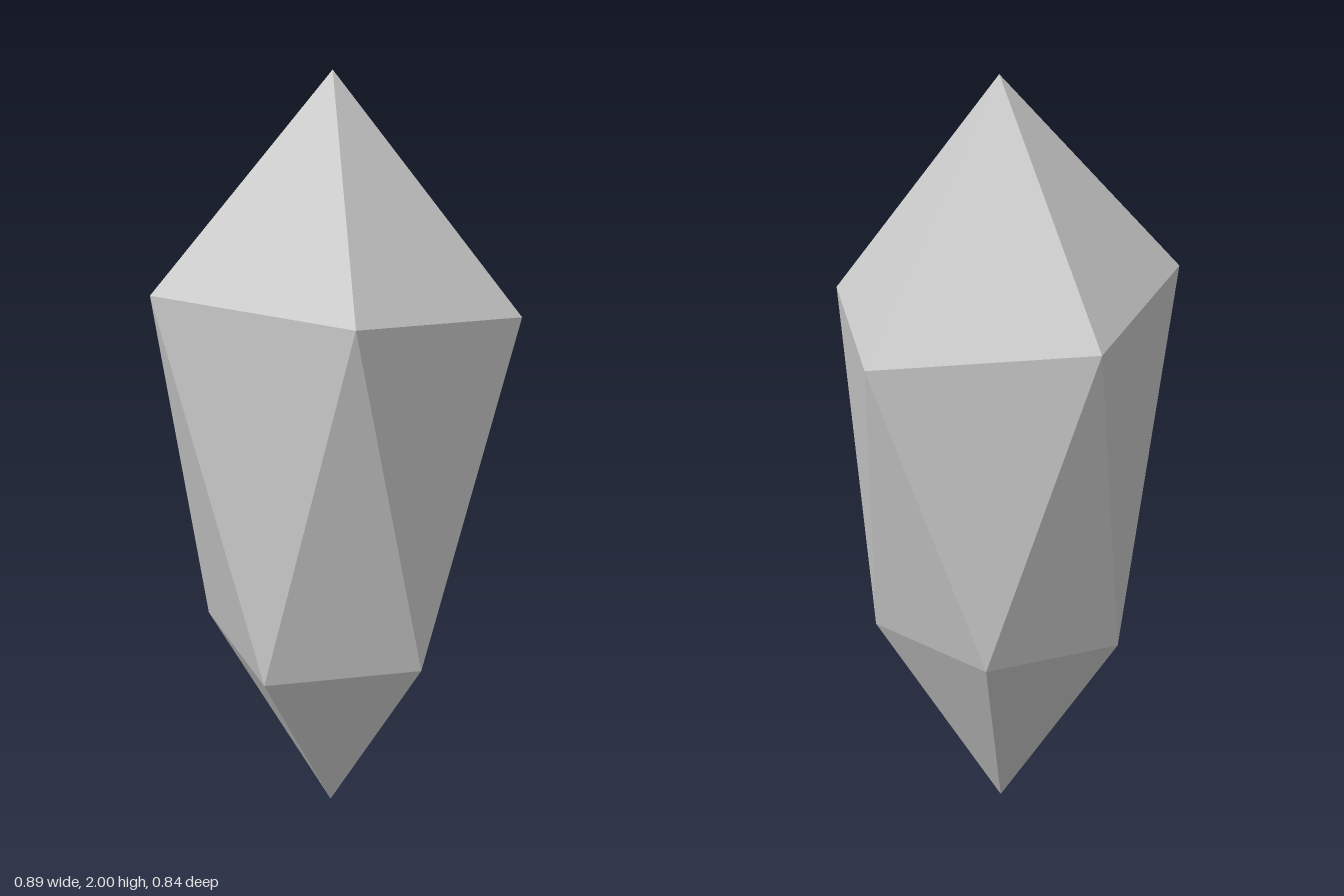
import * as THREE from 'three';

// Ring of five corners around the crystal axis, one height per corner
function ring(radius, turn, heights) {
  return heights.map((y, k) => {
    const a = (k + turn) * Math.PI * 2 / 5;
    return [radius * Math.sin(a), y, AXIS_Z + radius * Math.cos(a)];
  });
}

const AXIS_Z = 0.045;

export function createModel() {
  const top = [0, 2, AXIS_Z];
  const bottom = [0, 0.005, AXIS_Z];
  const upper = ring(0.466, 0.5, [1.43, 1.375, 1.43, 1.51, 1.51]);
  const lower = ring(0.337, 0, [0.55, 0.58, 0.58, 0.55, 0.53]);

  // Pointed crown, twisted facets between the rings, pointed base
  const points = [];
  for (let k = 0; k < 5; k++) {
    const n = (k + 1) % 5;
    points.push(
      top, upper[k], upper[n],
      upper[k], lower[n], upper[n],
      lower[k], lower[n], upper[k],
      bottom, lower[n], lower[k],
    );
  }
  const geometry = new THREE.BufferGeometry();
  geometry.setAttribute('position', new THREE.Float32BufferAttribute(points.flat(), 3));
  geometry.computeVertexNormals();

  const crystal = new THREE.Mesh(
    geometry,
    new THREE.MeshStandardMaterial({ color: 0xcccccc, flatShading: true }),
  );
  crystal.name = 'crystal';

  const group = new THREE.Group();
  group.name = 'crystalShard';
  group.add(crystal);
  return group;
}
